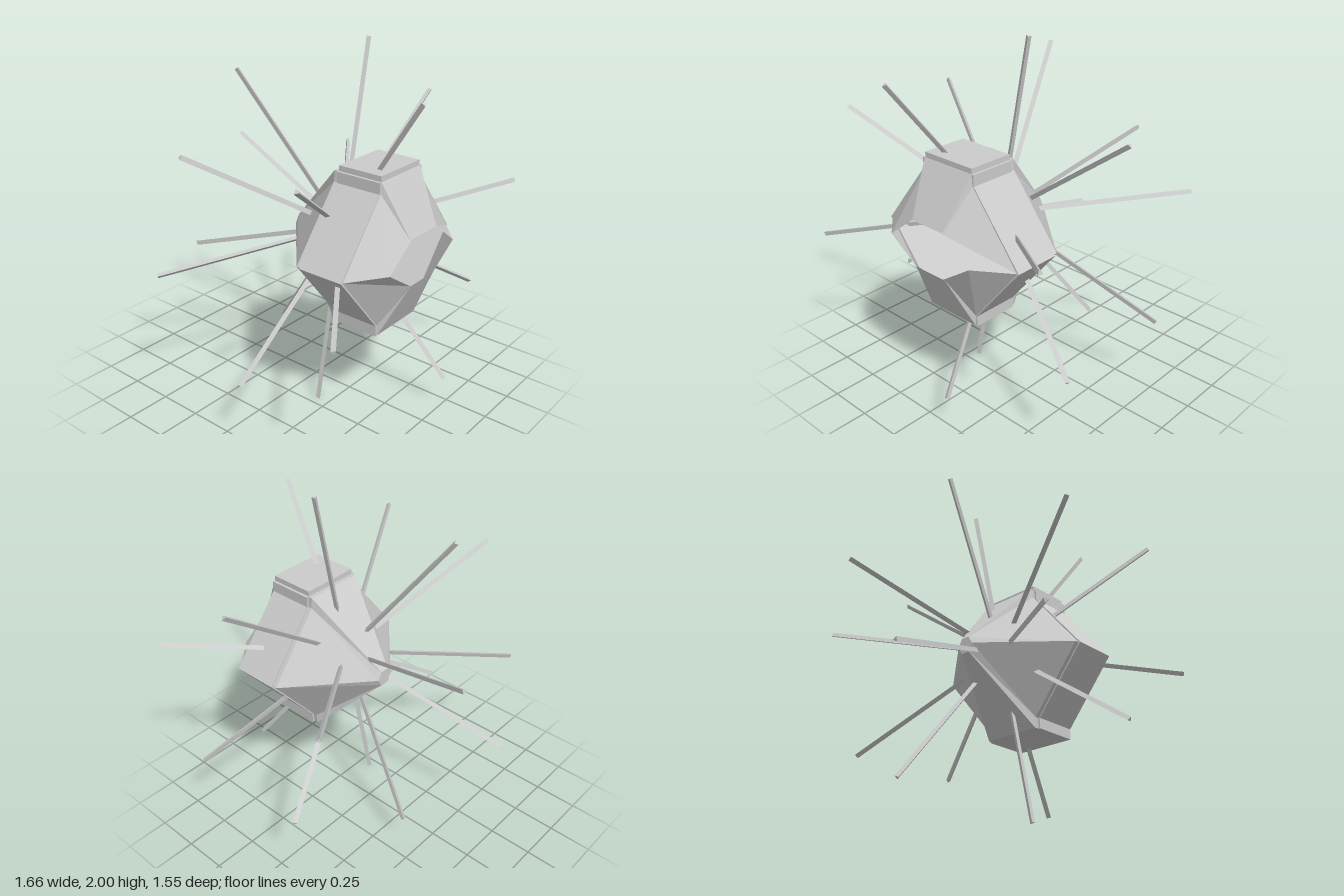
import * as THREE from 'three';

const material = new THREE.MeshStandardMaterial({ color: 0xcccccc, flatShading: true, side: THREE.DoubleSide });

function add(group, name, geometry) {
  const mesh = new THREE.Mesh(geometry, material);
  mesh.name = name;
  group.add(mesh);
  return mesh;
}

// Closed outline, counterclockwise from the front, mirrored from its right half (bottom to top)
const mirrored = (half) => [...half, ...half.slice().reverse().map(([x, y]) => [-x, y])];

// Skin between two outlines with the same number of points
function loft(a, za, b, zb) {
  const pos = [];
  a.forEach((p, i) => {
    const j = (i + 1) % a.length;
    const A = [...p, za], B = [...a[j], za], C = [...b[j], zb], D = [...b[i], zb];
    pos.push(...A, ...B, ...C, ...A, ...C, ...D);
  });
  const geometry = new THREE.BufferGeometry();
  geometry.setAttribute('position', new THREE.Float32BufferAttribute(pos, 3));
  geometry.computeVertexNormals();
  return geometry;
}

const shapeOf = (points) => new THREE.Shape(points.map(([x, y]) => new THREE.Vector2(x, y)));

function triangle(radius) {
  return [0, 1, 2].map((i) => {
    const angle = Math.PI / 2 + (i * Math.PI * 2) / 3;
    return new THREE.Vector2(Math.cos(angle) * radius, Math.sin(angle) * radius);
  });
}

function createHull() {
  const hull = new THREE.Group();
  hull.name = 'hull';
  const tail = mirrored([[0.025, 0.915], [0.027, 0.92], [0.05, 0.96], [0.027, 1.0], [0.025, 1.005]]);
  const body = mirrored([[0.17, 0.54], [0.175, 0.6], [0.468, 0.96], [0.175, 1.33], [0.17, 1.39]]);
  const mouth = mirrored([[0.1, 0.85], [0.11, 0.855], [0.29, 0.975], [0.12, 1.105], [0.11, 1.11]]);
  add(hull, 'rearCone', loft(tail, -0.11, body, 0.26));
  add(hull, 'midBand', loft(body, 0.26, body, 0.55));
  add(hull, 'frontPetals', loft(body, 0.55, mouth, 0.7));
  add(hull, 'tailCap', new THREE.ShapeGeometry(shapeOf(tail)).rotateY(Math.PI).translate(0, 0, -0.11));

  // Raised plates wrapping the left and right sides
  const plate = [[0.165, 0.54], [0.183, 0.54], [0.183, 0.6], [0.48, 0.96], [0.183, 1.33],
    [0.183, 1.39], [0.165, 1.39], [0.165, 1.33], [0.46, 0.96], [0.165, 0.6]];
  for (const side of [1, -1]) {
    const shape = shapeOf(plate.map(([x, y]) => [x * side, y]));
    const geometry = new THREE.ExtrudeGeometry(shape, { depth: 0.265, bevelEnabled: false });
    add(hull, side > 0 ? 'leftPlate' : 'rightPlate', geometry.translate(0, 0, 0.285));
  }
  add(hull, 'topPlate', new THREE.BoxGeometry(0.335, 0.04, 0.262).translate(0, 1.4, 0.416));
  return hull;
}

function createCore() {
  const core = new THREE.Group();
  core.name = 'spikedCore';
  core.position.set(0, 1.005, 0.18);

  // Twenty face directions: ten and their opposites
  const half = [[0.2, 1, 0], [0.82, 0.6, 0], [-0.17, 0.81, 0.59], [-0.17, 0.81, -0.59],
    [0.81, 0.18, 0.59], [0.81, 0.18, -0.59], [-0.8, 0.52, 0.37], [-0.8, 0.52, -0.37],
    [0.2, 0.3, 0.95], [0.2, 0.3, -0.95]].map((v) => new THREE.Vector3(...v).normalize());
  const directions = half.flatMap((d) => [d, d.clone().negate()]);

  const frameShape = new THREE.Shape(triangle(0.094));
  frameShape.holes.push(new THREE.Path(triangle(0.05)));
  const frame = new THREE.ExtrudeGeometry(frameShape, { depth: 0.015, bevelEnabled: false }).translate(0, 0, 0.11);
  const rimShape = new THREE.Shape(triangle(0.062));
  rimShape.holes.push(new THREE.Path(triangle(0.04)));
  const rim = new THREE.ExtrudeGeometry(rimShape, { depth: 0.02, bevelEnabled: false }).translate(0, 0, 0.115);
  const length = 1.016;
  const spike = new THREE.CylinderGeometry(0.015, 0.015, length, 3)
    .rotateX(Math.PI / 2).rotateZ(Math.PI).translate(0, 0, length / 2);

  for (const d of directions) {
    // Point one corner of the face away from a neighbouring face
    const near = directions.filter((e) => e !== d).sort((a, b) => b.dot(d) - a.dot(d))[0];
    const up = near.clone().addScaledVector(d, -near.dot(d)).normalize().negate();
    const face = new THREE.Group();
    face.name = 'coreFace';
    face.quaternion.setFromRotationMatrix(new THREE.Matrix4().makeBasis(up.clone().cross(d), up, d));
    add(face, 'triangleFrame', frame);
    add(face, 'triangleRim', rim);
    // The two faces behind the mouth carry no spike
    if (d.z < 0.8) add(face, 'spike', spike);
    core.add(face);
  }
  return core;
}

export function createModel() {
  const model = new THREE.Group();
  model.name = 'spikedPod';
  model.add(createHull(), createCore());
  return model;
}
